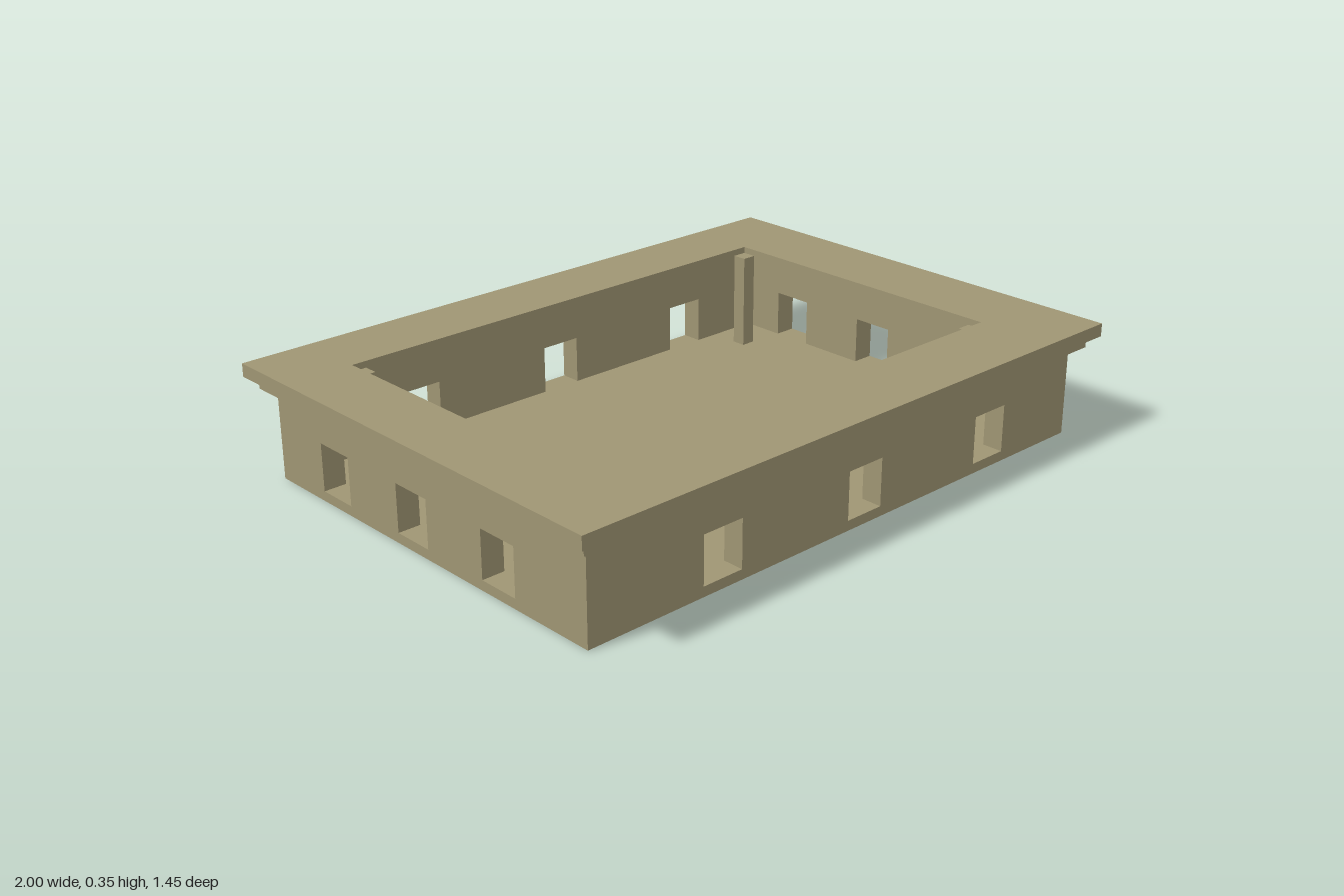
import * as THREE from 'three';

const FLOOR = 0.03, WALL_TOP = 0.275, SILL = 0.03, HEAD = 0.175;
const OUT_X = 0.935, OUT_Z = 0.66, IN_X = 0.865, IN_Z = 0.595;
const OPEN = { x0: -0.785, x1: 0.75, z0: -0.505, z1: 0.475 };
const PILLAR = 0.045;

// rectangular outline from two corners
function outline(target, x0, y0, x1, y1) {
  target.moveTo(x0, y0);
  target.lineTo(x1, y0);
  target.lineTo(x1, y1);
  target.lineTo(x0, y1);
  target.closePath();
  return target;
}
const rect = (...c) => outline(new THREE.Shape(), ...c);
const hole = (...c) => outline(new THREE.Path(), ...c);

export function createModel() {
  const stone = new THREE.MeshStandardMaterial({ color: 0x9f9573, side: THREE.DoubleSide });
  stone.name = 'sandstone';
  const model = new THREE.Group();
  model.name = 'walledCourt';

  function add(parent, name, geometry, x = 0, y = 0, z = 0) {
    const mesh = new THREE.Mesh(geometry, stone);
    mesh.name = name;
    mesh.position.set(x, y, z);
    parent.add(mesh);
    return mesh;
  }

  // hollow wall: outer skin, inner skin and window reveals, facing local +z
  function wall(name, outHalf, outDist, inHalf, inDist, windows, angle) {
    const group = new THREE.Group();
    group.name = name;
    group.rotation.y = angle;
    const outer = rect(-outHalf, 0, outHalf, WALL_TOP);
    // inner skin ends at the floor, so its windows reach down to its lower edge
    const inner = new THREE.Shape().moveTo(-inHalf, FLOOR);
    const depth = outDist - inDist, mid = (outDist + inDist) / 2;
    for (const [a, b] of windows) {
      outer.holes.push(hole(a, SILL, b, HEAD));
      inner.lineTo(a, FLOOR).lineTo(a, HEAD).lineTo(b, HEAD).lineTo(b, FLOOR);
      for (const x of [a, b]) {
        add(group, 'windowJamb', new THREE.PlaneGeometry(depth, HEAD - SILL).rotateY(x === a ? Math.PI / 2 : -Math.PI / 2),
          x, (SILL + HEAD) / 2, mid);
      }
      for (const y of [SILL, HEAD]) {
        add(group, 'windowSill', new THREE.PlaneGeometry(b - a, depth).rotateX(y === SILL ? -Math.PI / 2 : Math.PI / 2),
          (a + b) / 2, y, mid);
      }
    }
    inner.lineTo(inHalf, FLOOR).lineTo(inHalf, WALL_TOP).lineTo(-inHalf, WALL_TOP).closePath();
    add(group, 'outerSkin', new THREE.ShapeGeometry(outer), 0, 0, outDist);
    const innerGeo = new THREE.ShapeGeometry(inner).scale(-1, 1, 1).rotateY(Math.PI);
    // the mirror and half turn leave x as drawn and flip only depth
    add(group, 'innerSkin', innerGeo, 0, 0, inDist);
    model.add(group);
  }

  const mirror = list => list.map(([a, b]) => [-b, -a]).reverse();
  const frontWin = [[-0.555, -0.42], [-0.02, 0.11], [0.51, 0.64]];
  const backWin = frontWin.map(([a, b]) => [a - 0.012, b - 0.012]);
  const sideWin = [[-0.455, -0.325], [-0.105, 0.027], [0.255, 0.387]];
  wall('frontWall', OUT_X, OUT_Z, IN_X, IN_Z, frontWin, 0);
  wall('backWall', OUT_X, OUT_Z, IN_X, IN_Z, mirror(backWin), Math.PI);
  wall('leftWall', OUT_Z, OUT_X, IN_Z, IN_X, mirror(sideWin), Math.PI / 2);
  wall('rightWall', OUT_Z, OUT_X, IN_Z, IN_X, sideWin, -Math.PI / 2);

  // two stepped cornice slabs around the open centre
  function cornice(name, hx, hz, y0, y1, grow) {
    const shape = rect(-hx, -hz, hx, hz);
    shape.holes.push(hole(OPEN.x0 - grow, -OPEN.z1 - grow, OPEN.x1 + grow, -OPEN.z0 + grow));
    const geo = new THREE.ExtrudeGeometry(shape, { depth: y1 - y0, bevelEnabled: false });
    add(model, name, geo.rotateX(-Math.PI / 2), 0, y0, 0);
  }
  cornice('lowerCornice', 0.97, 0.695, WALL_TOP, 0.31, 0.03);
  cornice('upperCornice', 1, 0.725, 0.31, 0.35, 0);

  // floor sheet, open under the four hollow corner pillars
  const floor = rect(-IN_X, -IN_Z, IN_X, IN_Z);
  const h = PILLAR / 2, top = 0.33;
  for (const x of [OPEN.x0 + h, OPEN.x1 - h]) {
    for (const z of [OPEN.z0 + h, OPEN.z1 - h]) {
      floor.holes.push(hole(x - h, -z - h, x + h, -z + h));
      const box = new THREE.BoxGeometry(PILLAR, top - FLOOR, PILLAR);
      // drop the bottom face
      const index = Array.from(box.index.array);
      index.splice(18, 6);
      box.setIndex(index);
      box.clearGroups();
      add(model, 'cornerPillar', box, x, (top + FLOOR) / 2, z);
    }
  }
  add(model, 'floor', new THREE.ShapeGeometry(floor).rotateX(-Math.PI / 2), 0, FLOOR, 0);
  return model;
}
